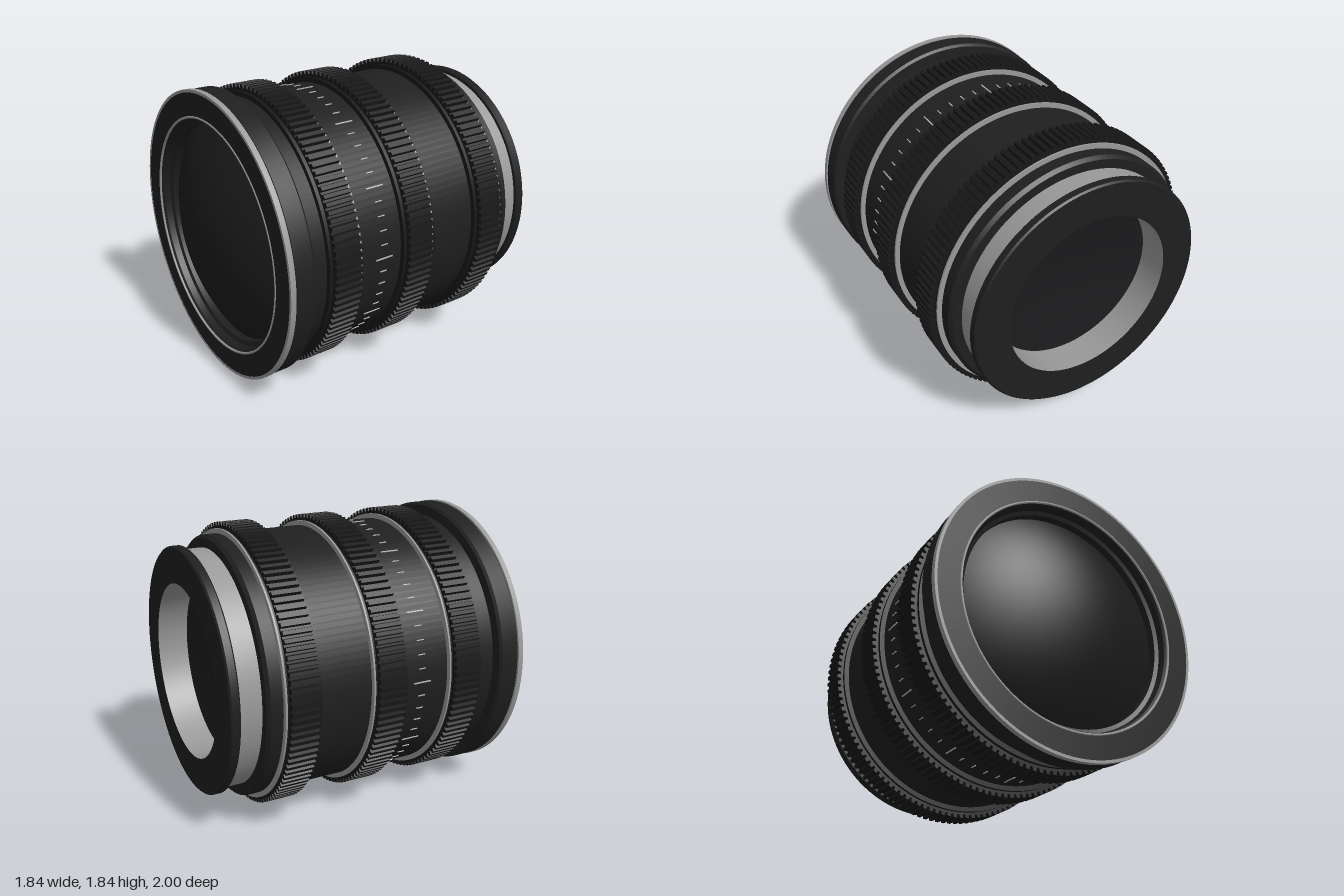
import * as THREE from 'three';
import { toCreasedNormals } from 'three/addons/utils/BufferGeometryUtils.js';

const SEG = 128;
const mat = (name, color) => {
  const m = new THREE.MeshStandardMaterial({ color });
  m.name = name;
  return m;
};

export function createModel() {
  const black = mat('barrel black', 0x1f1f1f);
  const rubber = mat('grip rubber', 0x171717);
  const glass = mat('dark glass', 0x1b1b1d);
  const silver = mat('silver metal', 0x999999);
  const paint = mat('scale paint', 0xb4b4b4);

  const model = new THREE.Group();
  model.name = 'cameraLens';
  model.position.y = 0.92;

  const add = (name, geometry, material, parent = model) => {
    const mesh = new THREE.Mesh(geometry, material);
    mesh.name = name;
    parent.add(mesh);
    return mesh;
  };
  // Revolve [radius, z] points about the z axis; rising z faces outward
  const turn = (name, points, material, parent) => {
    const g = new THREE.LatheGeometry(points.map(([r, z]) => new THREE.Vector2(r, z)), SEG);
    g.rotateX(Math.PI / 2);
    return add(name, toCreasedNormals(g, 0.4), material, parent);
  };
  // Closed ring with a rectangular section
  const ring = (name, r0, r1, z0, z1, material, parent) =>
    turn(name, [[r0, z0], [r1, z0], [r1, z1], [r0, z1], [r0, z0]], material, parent);

  // Main barrel and front collar
  turn('barrel', [[0.7, -0.8], [0.815, -0.8], [0.835, -0.78], [0.835, 0.76]], black);
  turn('frontCollar', [[0.82, 0.75], [0.9, 0.75], [0.915, 0.765], [0.915, 0.88], [0.905, 0.89]], black);
  ring('frontRim', 0.902, 0.92, 0.888, 0.922, silver);
  turn('frontFace', [[0.904, 0.921], [0.755, 0.921], [0.735, 0.9], [0.725, 0.86],
    [0.7, 0.85], [0.7, 0.78]], black);
  add('innerTrimRing', new THREE.TorusGeometry(0.752, 0.008, 8, SEG), silver).position.z = 0.918;

  // Domed front element, a cap of a large sphere
  const R = 1.33;
  const dome = [];
  for (let i = 0; i <= 16; i++) {
    const r = 0.705 * (1 - i / 16);
    dome.push([r, 1 - R + Math.sqrt(R * R - r * r)]);
  }
  turn('frontGlass', dome, glass);

  // Ribbed grip rings, each with a dark front flange and a silver rear line
  const TEETH = 120;
  const gear = new THREE.Shape();
  for (let i = 0; i < TEETH; i++) {
    [[0, 0.882], [0.12, 0.905], [0.58, 0.905], [0.7, 0.882]].forEach(([f, r], k) => {
      const a = ((i + f) / TEETH) * Math.PI * 2;
      gear[i + k === 0 ? 'moveTo' : 'lineTo'](r * Math.cos(a), r * Math.sin(a));
    });
  }
  gear.closePath();
  const bore = new THREE.Path();
  bore.absarc(0, 0, 0.83, 0, Math.PI * 2, true);
  gear.holes.push(bore);
  const ribs = new THREE.ExtrudeGeometry(gear, { depth: 0.184, bevelEnabled: false, curveSegments: 48 });
  [['focusGrip', 0.515], ['zoomGrip', -0.02], ['apertureGrip', -0.59]].forEach(([name, z]) => {
    const grip = new THREE.Group();
    grip.name = name;
    grip.position.z = z;
    add('ribs', ribs, rubber, grip).position.z = -0.092;
    ring('flange', 0.83, 0.866, -0.102, 0.114, rubber, grip);
    ring('silverLine', 0.83, 0.866, -0.114, -0.102, silver, grip);
    model.add(grip);
  });

  // Distance scale: 60 ticks, every fifth one long
  const scale = new THREE.Group();
  scale.name = 'distanceScale';
  const longTick = new THREE.BoxGeometry(0.008, 0.008, 0.12);
  const shortTick = new THREE.BoxGeometry(0.008, 0.006, 0.048);
  for (let i = 0; i < 60; i++) {
    const a = (i / 60) * Math.PI * 2;
    const tick = add('tick', i % 5 ? shortTick : longTick, paint, scale);
    tick.position.set(0.836 * Math.cos(a), 0.836 * Math.sin(a), 0.219);
    tick.rotation.z = a;
  }
  model.add(scale);

  // Rear mount, its end flange and the recessed rear element
  turn('mountTube', [[0.757, -0.94], [0.757, -0.79]], silver);
  turn('mountFlange', [[0.555, -1], [0.775, -1], [0.785, -0.99], [0.785, -0.947],
    [0.775, -0.937], [0.74, -0.937]], black);
  turn('mountBore', [[0.555, -0.79], [0.555, -1]], silver);
  turn('rearGlass', [[0, -0.74], [0.2, -0.747], [0.38, -0.766], [0.556, -0.8]], glass);

  return model;
}
